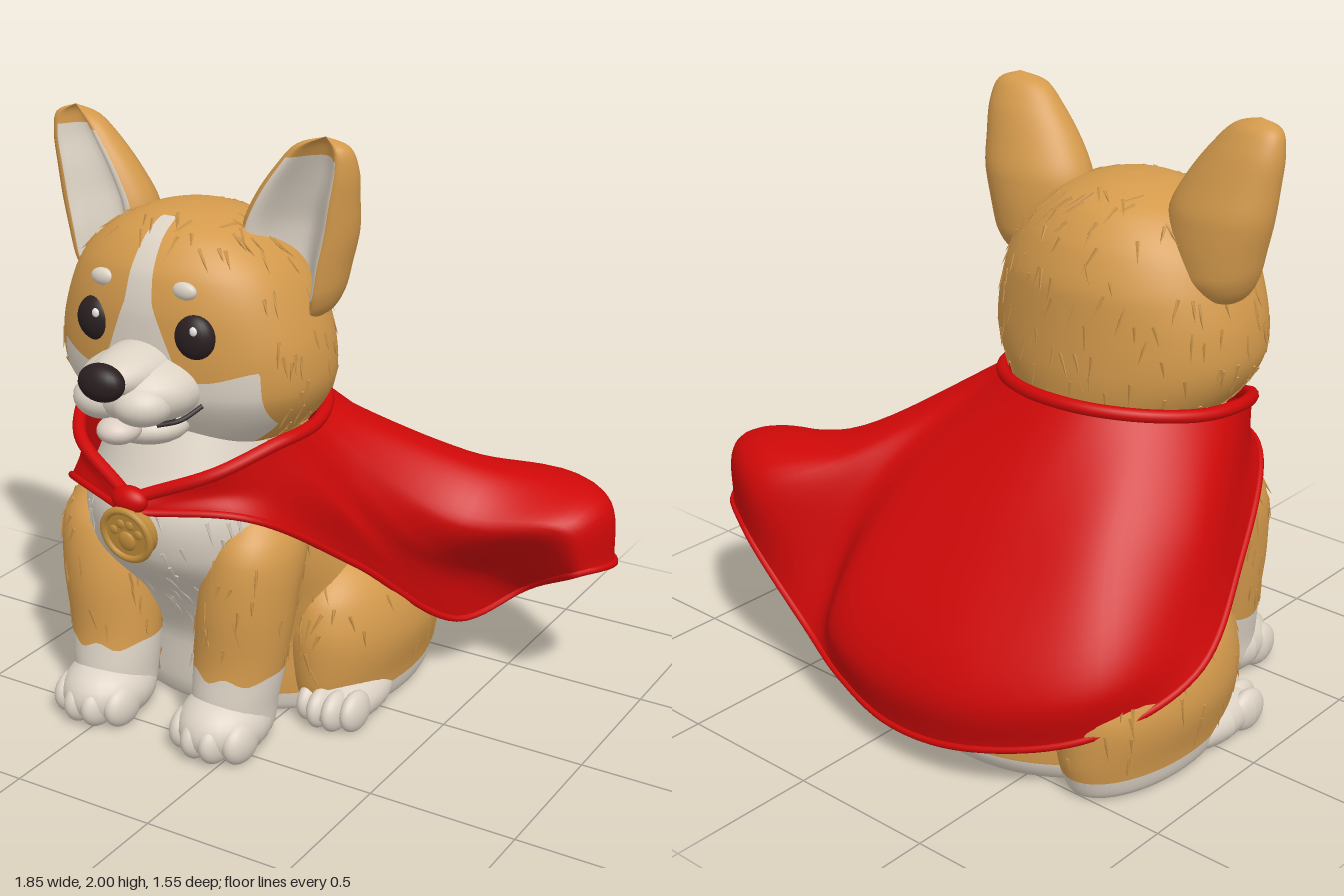
import * as THREE from 'three';
import { mergeGeometries } from 'three/addons/utils/BufferGeometryUtils.js';

const mat = (name, color, side = THREE.FrontSide) => {
  const m = new THREE.MeshStandardMaterial({ color, side });
  m.name = name;
  return m;
};
const V = (x, y, z) => new THREE.Vector3(x, y, z);
const mix = THREE.MathUtils.mapLinear;

export function createModel() {
  const gold = mat('goldenFur', 0xd49a4c), white = mat('creamFur', 0xdcd2c4);
  const red = mat('redCloth', 0xcf0808, THREE.DoubleSide), dark = mat('darkBrown', 0x2a1f20);
  const brass = mat('brass', 0xc08d3c), pink = mat('tongue', 0xdccdc2), glint = mat('eyeGlint', 0xf4f2ee);
  let seed = 7;
  const rand = () => (seed = (seed * 16807) % 2147483647) / 2147483647;

  const model = new THREE.Group();
  model.name = 'capedPuppy';
  const dog = new THREE.Group();
  dog.name = 'puppy';
  dog.position.x = -0.3;
  model.add(dog);

  const add = (name, geo, material, parent = dog) => {
    const m = new THREE.Mesh(geo, material);
    m.name = name;
    parent.add(m);
    return m;
  };

  // Ellipsoid flattened where it meets the ground
  const blob = (name, material, [x, y, z], [rx, ry, rz]) => {
    const g = new THREE.SphereGeometry(1, 24, 16).scale(rx, ry, rz).translate(x, y, z);
    const p = g.attributes.position;
    for (let i = 0; i < p.count; i++) if (p.getY(i) < 0) p.setY(i, 0);
    g.computeVertexNormals();
    return add(name, g, material);
  };

  // Skin over rings [y, centreX, radiusX, centreZ, radiusZ], lowest first.
  // It is cut along the zero line of the field: cream where positive, golden elsewhere.
  const loft = (name, rings, field, { seg = 48, rows = 32, side = 1, skew = 0, depth = (c, s) => s } = {}) => {
    const a = new THREE.CatmullRomCurve3(rings.map(r => V(r[0], r[1], r[2])));
    const b = new THREE.CatmullRomCurve3(rings.map(r => V(r[3], r[4], 0)));
    const pos = [], f = [], sets = [[], []], cuts = new Map();
    for (let i = 0; i <= rows; i++) {
      const p = a.getPoint(i / rows), q = b.getPoint(i / rows);
      for (let j = 0; j < seg; j++) {
        const t = (j / seg) * Math.PI * 2, c = Math.cos(t), s = Math.sin(t), r = Math.max(p.z, 0);
        const x = side * p.y + r * c, y = Math.max(p.x, 0);
        const z = q.x + Math.max(q.y, 0) * depth(c, s) - skew * side * r * c;
        pos.push(x, y, z);
        f.push(field(x, y, z, c, s));
      }
    }
    const cut = (u, v) => {
      const key = Math.min(u, v) + '_' + Math.max(u, v);
      if (!cuts.has(key)) {
        const t = f[u] / (f[u] - f[v]);
        cuts.set(key, pos.length / 3);
        for (let d = 0; d < 3; d++) pos.push(pos[u * 3 + d] + t * (pos[v * 3 + d] - pos[u * 3 + d]));
      }
      return cuts.get(key);
    };
    const triangle = (...t) => {
      const w = t.map(v => (f[v] > 0 ? 1 : 0)), sum = w[0] + w[1] + w[2];
      if (sum % 3 === 0) return sets[w[0]].push(...t);
      const odd = w.indexOf(sum === 1 ? 1 : 0);
      const [u, v, x] = [0, 1, 2].map(k => t[(odd + k) % 3]), p = cut(u, v), q = cut(u, x);
      sets[w[odd]].push(u, p, q);
      sets[1 - w[odd]].push(p, v, x, p, x, q);
    };
    for (let i = 0; i < rows; i++) for (let j = 0; j < seg; j++) {
      const k = (j + 1) % seg, n = i * seg + seg;
      triangle(i * seg + j, n + j, i * seg + k);
      triangle(i * seg + k, n + j, n + k);
    }
    const g = new THREE.BufferGeometry();
    g.setAttribute('position', new THREE.Float32BufferAttribute(pos, 3));
    g.setIndex([...sets[0], ...sets[1]]);
    g.addGroup(0, sets[0].length, 0);
    g.addGroup(sets[0].length, sets[1].length, 1);
    g.computeVertexNormals();
    add(name, g, [gold, white]);
    return g;
  };

  // Small locks of fur lying downward on one colour of a skin
  const tufts = (name, geo, group, count, keep = () => true) => {
    const { start, count: size } = geo.groups[group], list = [];
    const p = V(), n = V(), m = new THREE.Matrix4(), q = new THREE.Quaternion();
    for (let i = 0; i < count; i++) {
      const v = geo.index.getX(start + Math.floor(rand() * size));
      p.fromBufferAttribute(geo.attributes.position, v);
      n.fromBufferAttribute(geo.attributes.normal, v);
      if (Math.abs(n.y) > 0.93 || !keep(p)) continue;
      const d = V((rand() - 0.5) * 0.9, -1, 0);
      d.addScaledVector(n, -d.dot(n)).normalize().addScaledVector(n, 0.15).normalize();
      q.setFromUnitVectors(V(0, 1, 0), d);
      m.compose(p.clone(), q, V(1, 0.7 + rand() * 0.6, 1));
      list.push(new THREE.ConeGeometry(0.009, 0.075, 4).applyMatrix4(m));
    }
    add(name, mergeGeometries(list), group ? white : gold);
  };

  // Body with cream bib and underside
  const bib = y => (y < 0.25 ? 0.15 : mix(y, 0.25, 0.87, 0.12, 0.35));
  const body = loft('body', [
    [0, 0, 0, -0.15, 0], [0, 0, 0.46, -0.14, 0.42], [0.07, 0, 0.49, -0.15, 0.46], [0.25, 0, 0.49, -0.15, 0.47],
    [0.45, 0, 0.46, -0.05, 0.47], [0.65, 0, 0.42, 0.11, 0.48], [0.8, 0, 0.39, 0.17, 0.45],
    [0.95, 0, 0.33, 0.19, 0.37], [1.1, 0, 0.29, 0.2, 0.29],
  ], (x, y, z) => Math.max(0.075 - y, Math.min(z - 0.2, bib(y) - Math.abs(x)), Math.min(y - 0.9, z - 0.25)), { seg: 80, rows: 50 });
  tufts('bodyFur', body, 0, 110, p => p.y > 0.12 && p.y < 0.7);
  tufts('bibFur', body, 1, 200, p => p.y > 0.15 && p.z > 0.3 && p.y < 0.84);

  // Head, broad across the face, with cream cheeks and blaze
  const blaze = y => (y < 1.5 ? mix(y, 1.35, 1.5, 0.11, 0.05) : mix(y, 1.5, 1.73, 0.05, 0.028));
  const head = loft('head', [
    [0.97, 0, 0, 0.17, 0], [1.0, 0, 0.27, 0.16, 0.27], [1.08, 0, 0.38, 0.18, 0.31], [1.2, 0, 0.455, 0.205, 0.345],
    [1.32, 0, 0.46, 0.212, 0.348], [1.45, 0, 0.425, 0.215, 0.345], [1.58, 0, 0.36, 0.225, 0.31],
    [1.68, 0, 0.25, 0.23, 0.235], [1.735, 0, 0.12, 0.24, 0.12], [1.75, 0, 0, 0.24, 0],
  ], (x, y, z) => {
    const w = Math.abs(x);
    return Math.min(z - 0.34, Math.max(
      Math.min(0.37 - w, 1.285 + 0.02 * Math.cos(w * 16) - y),
      Math.min(y - 1.25, 1.73 - y, blaze(y) - w)));
  }, { seg: 120, rows: 64, depth: (c, s) => (s > 0 ? s ** 0.78 : s) });
  tufts('headFur', head, 0, 360, p => p.z < 0.42 || p.y > 1.62);

  // Muzzle, mouth and nose
  blob('muzzle', white, [0, 1.235, 0.54], [0.205, 0.115, 0.19]);
  blob('muzzleBridge', white, [0, 1.295, 0.53], [0.12, 0.085, 0.24]);
  blob('jaw', white, [0, 1.105, 0.52], [0.14, 0.065, 0.13]);
  blob('mouth', dark, [0, 1.15, 0.58], [0.14, 0.018, 0.09]);
  blob('tongue', pink, [0, 1.125, 0.67], [0.068, 0.045, 0.075]);
  blob('nose', dark, [0, 1.3, 0.75], [0.08, 0.06, 0.052]);

  for (const s of [1, -1]) {
    const tag = s > 0 ? 'left' : 'right';
    // Face
    blob(tag + 'Lip', white, [s * 0.07, 1.215, 0.64], [0.1, 0.072, 0.1]);
    blob(tag + 'Eye', dark, [s * 0.182, 1.41, 0.515], [0.072, 0.075, 0.05]);
    blob(tag + 'EyeGlint', glint, [s * 0.182 + 0.022, 1.44, 0.557], [0.013, 0.015, 0.008]);
    blob(tag + 'Brow', white, [s * 0.152, 1.55, 0.522], [0.043, 0.028, 0.02]);
    const smile = new THREE.CatmullRomCurve3([V(s * 0.12, 1.15, 0.64), V(s * 0.18, 1.165, 0.6), V(s * 0.22, 1.2, 0.54)]);
    add(tag + 'Smile', new THREE.TubeGeometry(smile, 12, 0.008, 6), dark);

    // Ear with a hollow cream front
    loft(tag + 'Ear', [
      [1.4, 0.36, 0, 0.19, 0], [1.44, 0.36, 0.09, 0.19, 0.09], [1.51, 0.345, 0.15, 0.19, 0.13], [1.6, 0.345, 0.175, 0.19, 0.135],
      [1.7, 0.36, 0.185, 0.19, 0.13], [1.8, 0.39, 0.165, 0.2, 0.11], [1.9, 0.43, 0.13, 0.21, 0.085],
      [1.97, 0.455, 0.085, 0.22, 0.055], [2.0, 0.465, 0, 0.22, 0],
    ], (x, y, z, c, t) => Math.min(t, 0.72 - Math.abs(c + s * 0.06), (y - 1.49) * 4, (1.935 - y) * 4), {
      side: s, seg: 64, rows: 40, skew: 0.1,
      depth: (c, t) => {
        const k = 1 - Math.abs(c) / 0.8;
        return t > 0 && k > 0 ? 0.6 + 0.15 * Math.sin(k * Math.PI * 2) * (k < 0.5) - k * k * (3 - 2 * k) : t;
      },
    });

    // Front leg and paw
    const leg = loft(tag + 'FrontLeg', [
      [0.02, 0.24, 0, 0.42, 0], [0.04, 0.24, 0.12, 0.42, 0.13], [0.15, 0.24, 0.14, 0.41, 0.15], [0.3, 0.25, 0.155, 0.39, 0.15],
      [0.5, 0.27, 0.16, 0.375, 0.17], [0.7, 0.29, 0.14, 0.33, 0.19], [0.83, 0.27, 0.08, 0.27, 0.12], [0.88, 0.26, 0, 0.25, 0],
    ], (x, y) => 0.26 + 0.012 * Math.sin(x * 50) - y, { side: s });
    tufts(tag + 'LegFur', leg, 0, 90, p => p.y > 0.3 && p.y < 0.74);
    blob(tag + 'FrontPaw', white, [s * 0.235, 0.085, 0.465], [0.15, 0.115, 0.18]);
    blob(tag + 'HindPaw', white, [s * 0.47, 0.06, 0.05], [0.12, 0.085, 0.21]);
    for (let i = -1.5; i < 2; i++) {
      blob(tag + 'FrontToe', white, [s * 0.235 + i * 0.068, 0.065, 0.575 - 0.018 * i * i], [0.048, 0.075, 0.085]);
      blob(tag + 'HindToe', white, [s * 0.47 + i * 0.055, 0.06, 0.2 - 0.015 * i * i], [0.04, 0.07, 0.08]);
    }

    // Thigh, flat underneath
    const thigh = loft(tag + 'Thigh', [
      [0, 0.4, 0, -0.17, 0], [0, 0.4, 0.15, -0.17, 0.33], [0.12, 0.4, 0.19, -0.17, 0.38], [0.27, 0.4, 0.22, -0.17, 0.39],
      [0.42, 0.39, 0.19, -0.15, 0.34], [0.52, 0.38, 0.11, -0.12, 0.2], [0.56, 0.37, 0, -0.1, 0],
    ], (x, y) => 0.075 - y, { side: s });
    tufts(tag + 'ThighFur', thigh, 0, 110, p => p.y > 0.12 && p.y < 0.48);
  }

  // Medal with a raised paw print, leaning along the chest
  const medal = new THREE.Group();
  medal.name = 'medal';
  medal.position.set(0, 0.765, 0.635);
  medal.rotation.x = 0.15;
  dog.add(medal);
  add('medalDisc', new THREE.CylinderGeometry(0.092, 0.092, 0.04, 40).rotateX(Math.PI / 2), brass, medal);
  add('medalRim', new THREE.TorusGeometry(0.087, 0.013, 10, 40).translate(0, 0, 0.018), brass, medal);
  const pad = (x, y, r) => add('medalPad', new THREE.SphereGeometry(r, 14, 10).scale(1, 1.1, 0.4).translate(x, y, 0.02), brass, medal);
  pad(0, -0.022, 0.032);
  for (const x of [-0.047, -0.017, 0.017, 0.047]) pad(x, Math.abs(x) > 0.03 ? 0.01 : 0.037, 0.015);

  // Cape: columns run from the right of the knot, round the back, over the blown-out fold, to the left of the knot
  const angles = [0.1, 0.75, 1.45, 1.9, 2.35, 2.8, 3.25, 3.6, 3.9, 4.1, 4.3, 4.5, 4.65, 4.85, 5.1, 5.6, 6.18];
  const neck = angles.map(t => {
    const c = Math.cos(t);
    return V(-0.3 - 0.41 * Math.sin(t), 1.06 - (c > 0 ? 0.17 * c ** 3 : 0.05 * c), 0.215 + 0.4 * c);
  });
  const middle = [
    [-.34, .86, .63], [-.6, .9, .48], [-.77, .84, .18], [-.82, .78, -.1], [-.68, .76, -.36], [-.42, .72, -.47],
    [-.12, .72, -.49], [.1, .74, -.46], [.24, .74, -.41], [.36, .81, -.42], [.46, .83, -.27], [.46, .7, -.11],
    [.37, .6, -.08], [.26, .65, .03], [.18, .81, .22], [0, .9, .48], [-.26, .86, .63],
  ].map(p => V(...p));
  const hem = [
    [-.34, .84, .63], [-.64, .83, .48], [-.84, .6, .1], [-.92, .39, -.22], [-.77, .25, -.53], [-.42, .15, -.7],
    [-.1, .12, -.72], [.16, .17, -.68], [.37, .24, -.62], [.7, .5, -.59], [.9, .52, -.44], [.84, .53, -.27],
    [.55, .31, -.5], [.4, .24, -.3], [.2, .56, .09], [.04, .83, .48], [-.26, .84, .63],
  ].map(p => V(...p));
  // The fold's rounded end, which droops over its hem
  const bulb = { 9: V(.62, .7, -.61), 10: V(.86, .74, -.44), 11: V(.8, .68, -.22) };
  const columns = neck.map((p, i) => {
    // The back billows before it tucks in at the hem
    const billow = i > 3 && i < 8 ? 0.03 - 0.07 * Math.cos(angles[i]) : 0;
    const low = middle[i].clone().lerp(hem[i], 0.68);
    low.x -= billow * Math.sin(angles[i]);
    low.z += billow * Math.cos(angles[i]);
    return new THREE.CatmullRomCurve3([p, middle[i], bulb[i] || low, hem[i]]);
  });
  const NU = 128, NV = 28, pos = [], idx = [];
  for (let v = 0; v <= NV; v++) {
    const row = new THREE.CatmullRomCurve3(columns.map(c => c.getPoint(v / NV)));
    for (let u = 0; u <= NU; u++) pos.push(...row.getPoint(u / NU).toArray());
  }
  for (let v = 0; v < NV; v++) for (let u = 0; u < NU; u++) {
    const a = v * (NU + 1) + u, b = a + NU + 1;
    idx.push(a, a + 1, b, b, a + 1, b + 1);
  }
  const cape = new THREE.BufferGeometry();
  cape.setAttribute('position', new THREE.Float32BufferAttribute(pos, 3));
  cape.setIndex(idx);
  cape.computeVertexNormals();
  add('cape', cape, red, model);
  add('capeHem', new THREE.TubeGeometry(new THREE.CatmullRomCurve3(hem), 160, 0.012, 8), red, model);
  add('capeCollar', new THREE.TubeGeometry(new THREE.CatmullRomCurve3(neck), 100, 0.022, 10), red, model);
  blob('capeKnot', red, [0, 0.875, 0.63], [0.065, 0.045, 0.04]);

  return model;
}
